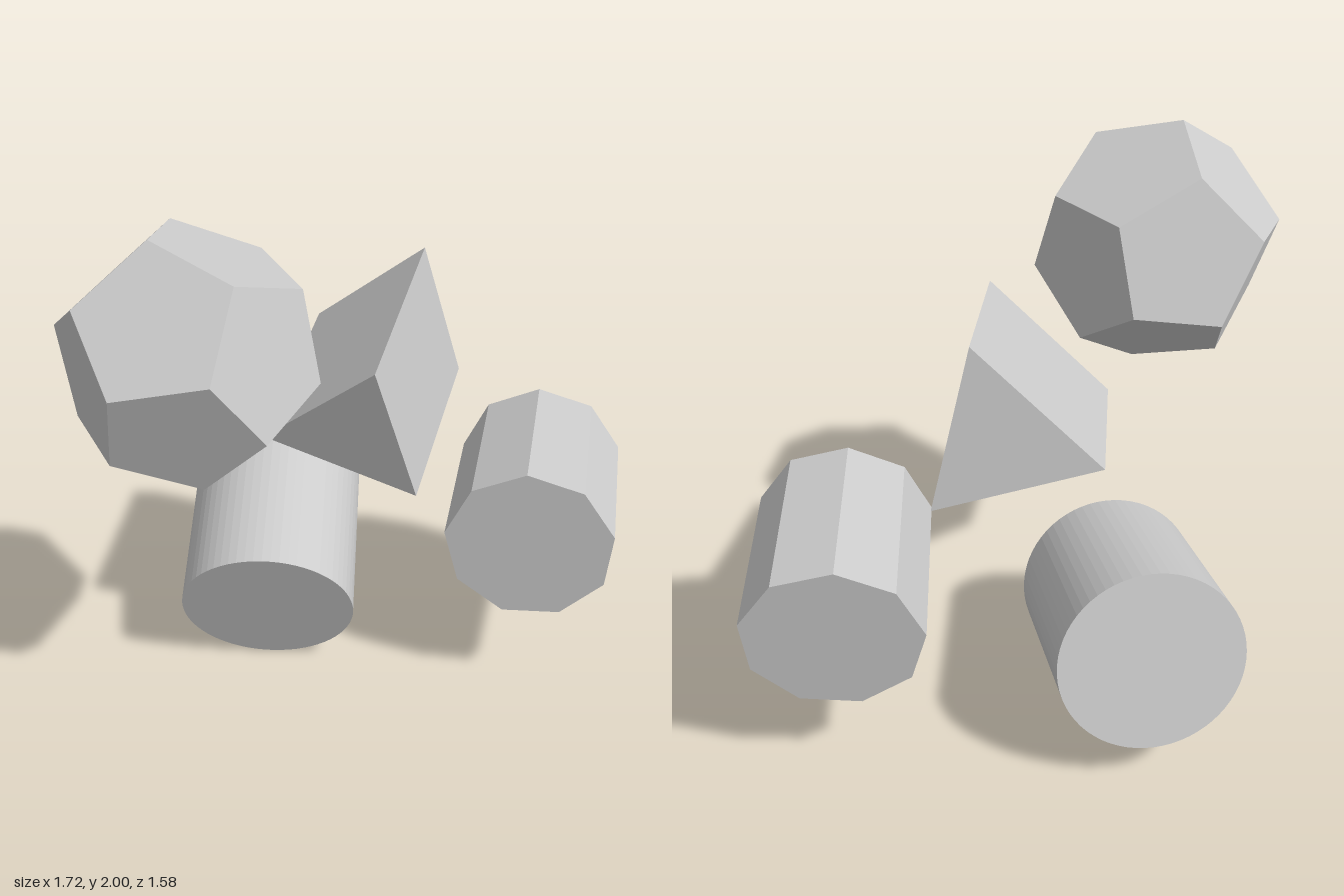
import * as THREE from 'three';

const material = new THREE.MeshStandardMaterial({ color: 0xcccccc, flatShading: true });
const vec = (p) => new THREE.Vector3(...p);

// Turns a mesh so its local y follows yDir and its local z leans to zHint.
function orient(mesh, yDir, zHint) {
  const y = yDir.clone().normalize();
  const x = new THREE.Vector3().crossVectors(y, zHint).normalize();
  const z = new THREE.Vector3().crossVectors(x, y);
  mesh.quaternion.setFromRotationMatrix(new THREE.Matrix4().makeBasis(x, y, z));
}

// Regular prism from the back cap centre to the front cap centre,
// with its first corner in the direction `corner`.
function prism(name, sides, radius, front, back, corner) {
  const a = vec(front), b = vec(back);
  const axis = a.clone().sub(b);
  const geometry = new THREE.CylinderGeometry(radius, radius, axis.length(), sides);
  const mesh = new THREE.Mesh(geometry, material);
  mesh.name = name;
  mesh.position.addVectors(a, b).multiplyScalar(0.5);
  orient(mesh, axis, vec(corner));
  return mesh;
}

export function createModel() {
  const group = new THREE.Group();
  group.name = 'floatingSolids';

  // Dodecahedron, upper left of the front
  const dodecahedron = new THREE.Mesh(new THREE.DodecahedronGeometry(0.42), material);
  dodecahedron.name = 'dodecahedron';
  dodecahedron.position.set(-0.445, 1.595, 0.375);
  orient(dodecahedron, vec([0.215, 0.935, 0.23]), vec([-0.2, -0.2, 0.965]));

  group.add(
    dodecahedron,
    // Three-sided prism
    prism('triangularPrism', 3, 0.321, [-0.007, 1.215, 0.117], [-0.047, 1.345, -0.513], [0.102, 0.3, 0.053]),
    // Nine-sided prism
    prism('nineSidedPrism', 9, 0.305, [0.571, 0.704, -0.138], [0.471, 0.669, -0.738], [-0.031, 0.301, -0.012]),
    // Round cylinder
    prism('cylinder', 64, 0.325, [-0.363, 0.314, 0.08], [-0.553, 0.5, -0.515], [0, 1, 0]),
  );
  return group;
}
